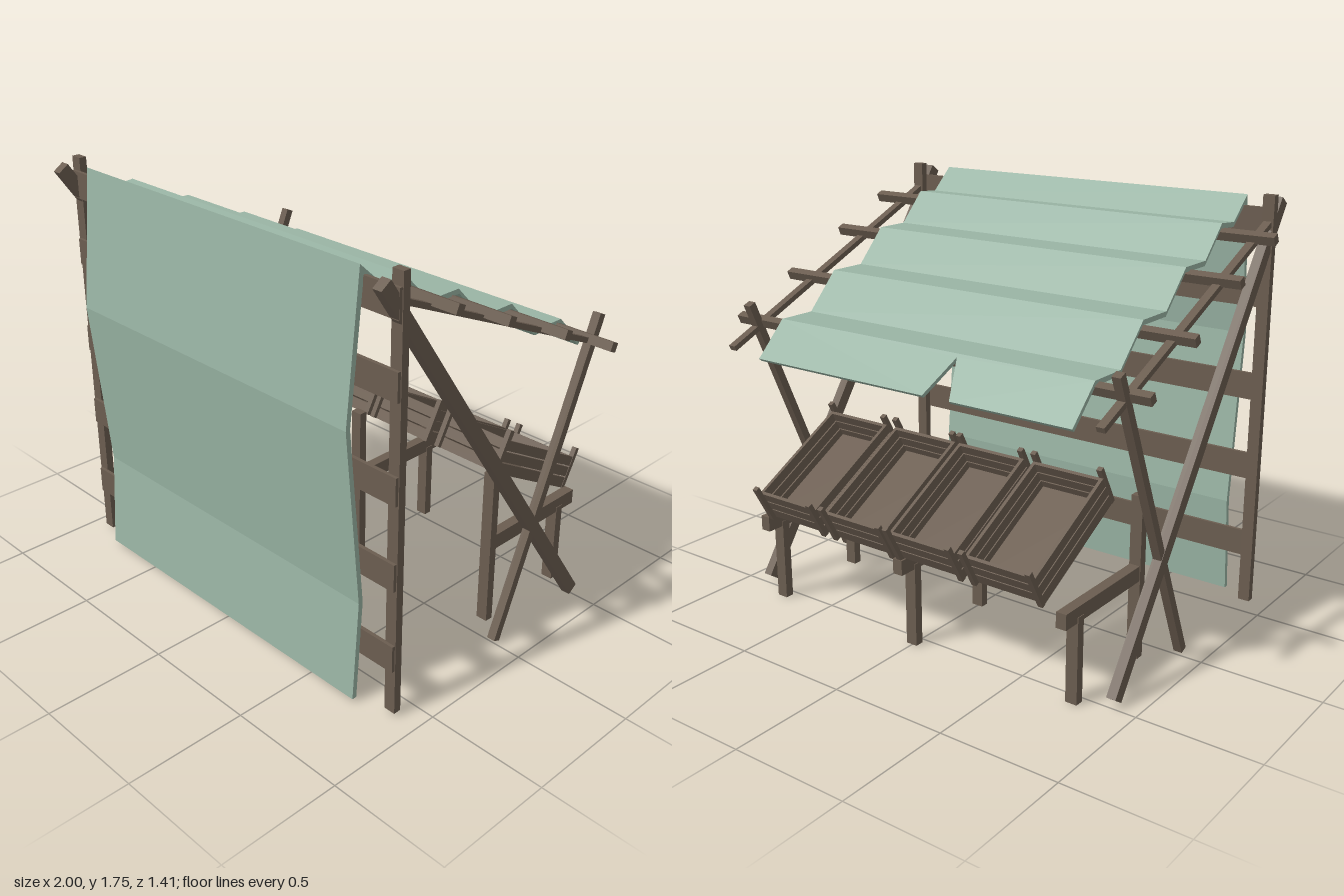
import * as THREE from 'three';

const wood = new THREE.MeshStandardMaterial({ color: 0x6b5d50 });
wood.name = 'weathered wood';
const cloth = new THREE.MeshStandardMaterial({ color: 0x9ab5a5 });
cloth.name = 'pale green cloth';

// Axis-aligned block given by its limits
function block(parent, name, x0, x1, y0, y1, z0, z1) {
  const m = new THREE.Mesh(new THREE.BoxGeometry(x1 - x0, y1 - y0, z1 - z0), wood);
  m.position.set((x0 + x1) / 2, (y0 + y1) / 2, (z0 + z1) / 2);
  m.name = name;
  parent.add(m);
  return m;
}

// Straight pole in a side plane, from [z, y] to [z, y]
function pole(parent, name, x, a, b, width, thick) {
  const dz = b[0] - a[0], dy = b[1] - a[1];
  const m = new THREE.Mesh(new THREE.BoxGeometry(width, thick, Math.hypot(dz, dy)), wood);
  m.position.set(x, (a[1] + b[1]) / 2, (a[0] + b[0]) / 2);
  m.rotation.x = -Math.atan2(dy, dz);
  m.name = name;
  parent.add(m);
}

// Slatted tray: bottom centre at the origin, long side along z
function crate(width) {
  const g = new THREE.Group();
  const w = width / 2, l = 0.253, t = 0.014;
  block(g, 'crateFloor', -w, w, 0, t, -l, l);
  for (let i = 0; i < 3; i++) {
    const y0 = 0.004 + i * 0.047, y1 = y0 + 0.041;
    for (const s of [-1, 1]) {
      const x = s * (w - t / 2), z = s * (l - t / 2);
      block(g, 'crateSideSlat', x - t / 2, x + t / 2, y0, y1, -l, l);
      block(g, 'crateEndSlat', -w, w, y0, y1, z - t / 2, z + t / 2);
    }
  }
  // corner battens stand proud of the rim
  for (const sx of [-1, 1]) for (const sz of [-1, 1]) {
    const x = sx * (w - 0.009), z = sz * (l + 0.009);
    block(g, 'crateBatten', x - 0.011, x + 0.011, 0, 0.18, z - 0.01, z + 0.01);
  }
  return g;
}

export function createModel() {
  const root = new THREE.Group();
  root.name = 'marketStall';

  // Side frames
  for (const x of [-0.9, 0.876]) {
    const frame = new THREE.Group();
    frame.name = 'sideFrame';
    block(frame, 'uprightPost', x - 0.025, x + 0.025, 0.015, 1.745, 0.57, 0.602);
    pole(frame, 'rafter', x, [0.615, 1.65], [-0.63, 1.105], 0.034, 0.022);
    pole(frame, 'longBrace', x, [0.675, 1.715], [-0.49, 0.03], 0.04, 0.052);
    pole(frame, 'shortStrut', x, [0.007, 0.025], [-0.526, 1.272], 0.036, 0.034);
    root.add(frame);
  }

  // Wall planks
  for (const y of [0.262, 0.61, 0.955, 1.345, 1.635])
    block(root, 'wallPlank', -0.912, 0.897, y - 0.056, y + 0.056, 0.6, 0.615);

  // Roof purlins, lying on the rafters
  const roofTilt = Math.atan2(0.545, 1.245);
  for (const [z, y] of [[0.44, 1.598], [0.17, 1.477], [-0.16, 1.327], [-0.46, 1.187]]) {
    const p = block(root, 'purlin', -1, 1, y - 0.019, y + 0.019, z - 0.017, z + 0.017);
    p.rotation.x = -roofTilt;
  }

  // Folded cloth: wall and roof in one profile of [z, y]
  const wall = [[0.655, 0.015], [0.625, 0.43], [0.692, 1.155], [0.63, 1.732]];
  const roof = [[0.523, 1.635], [0.42, 1.643], [0.296, 1.515], [0.143, 1.515],
    [0.005, 1.372], [-0.162, 1.372], [-0.31, 1.219], [-0.477, 1.219]];
  const t = 0.02;
  const inner = [...wall.slice(0, 3).map(([z, y]) => [z - t, y]), [0.612, 1.695],
    ...roof.map(([z, y]) => [z - 0.004, y - t])];
  const outline = [...wall, ...roof, ...inner.reverse()];
  const x0 = -0.78, x1 = 0.737;
  const clothGeo = new THREE.ExtrudeGeometry(
    new THREE.Shape(outline.map(([z, y]) => new THREE.Vector2(-z, y))),
    { depth: x1 - x0, bevelEnabled: false });
  clothGeo.rotateY(Math.PI / 2);
  clothGeo.translate(x0, 0, 0);
  const sheet = new THREE.Mesh(clothGeo, cloth);
  sheet.name = 'clothSheet';
  root.add(sheet);

  // Hanging roof edge with a torn notch
  const flap = new THREE.Shape([[x0, 0], [x1, 0], [x1, 0.197], [-0.12, 0.197],
    [-0.185, 0.016], [-0.247, 0.197], [x0, 0.197]].map(p => new THREE.Vector2(...p)));
  const flapGeo = new THREE.ExtrudeGeometry(flap, { depth: 0.016, bevelEnabled: false });
  flapGeo.translate(0, 0, -0.016);
  const edge = new THREE.Mesh(flapGeo, cloth);
  edge.position.set(0, 1.219, -0.477);
  edge.rotation.x = -Math.PI * 0.75;
  edge.name = 'tornClothEdge';
  root.add(edge);

  // Trestles under the display
  for (const x of [-0.76, 0.003, 0.735]) {
    const trestle = new THREE.Group();
    trestle.name = 'trestle';
    block(trestle, 'tallLeg', x - 0.025, x + 0.025, 0, 0.68, -0.126, -0.09);
    block(trestle, 'shortLeg', x - 0.025, x + 0.025, 0, 0.355, -0.56, -0.523);
    block(trestle, 'trestleRail', x - 0.022, x + 0.022, 0.333, 0.396, -0.635, -0.12);
    root.add(trestle);
  }

  // Row of tilted crates
  for (const [a, b] of [[-0.675, -0.357], [-0.312, 0.008], [0.028, 0.347], [0.395, 0.713]]) {
    const c = crate(b - a);
    c.position.set((a + b) / 2, 0.52, -0.389);
    c.rotation.x = -0.504;
    c.name = 'displayCrate';
    root.add(c);
  }
  return root;
}
